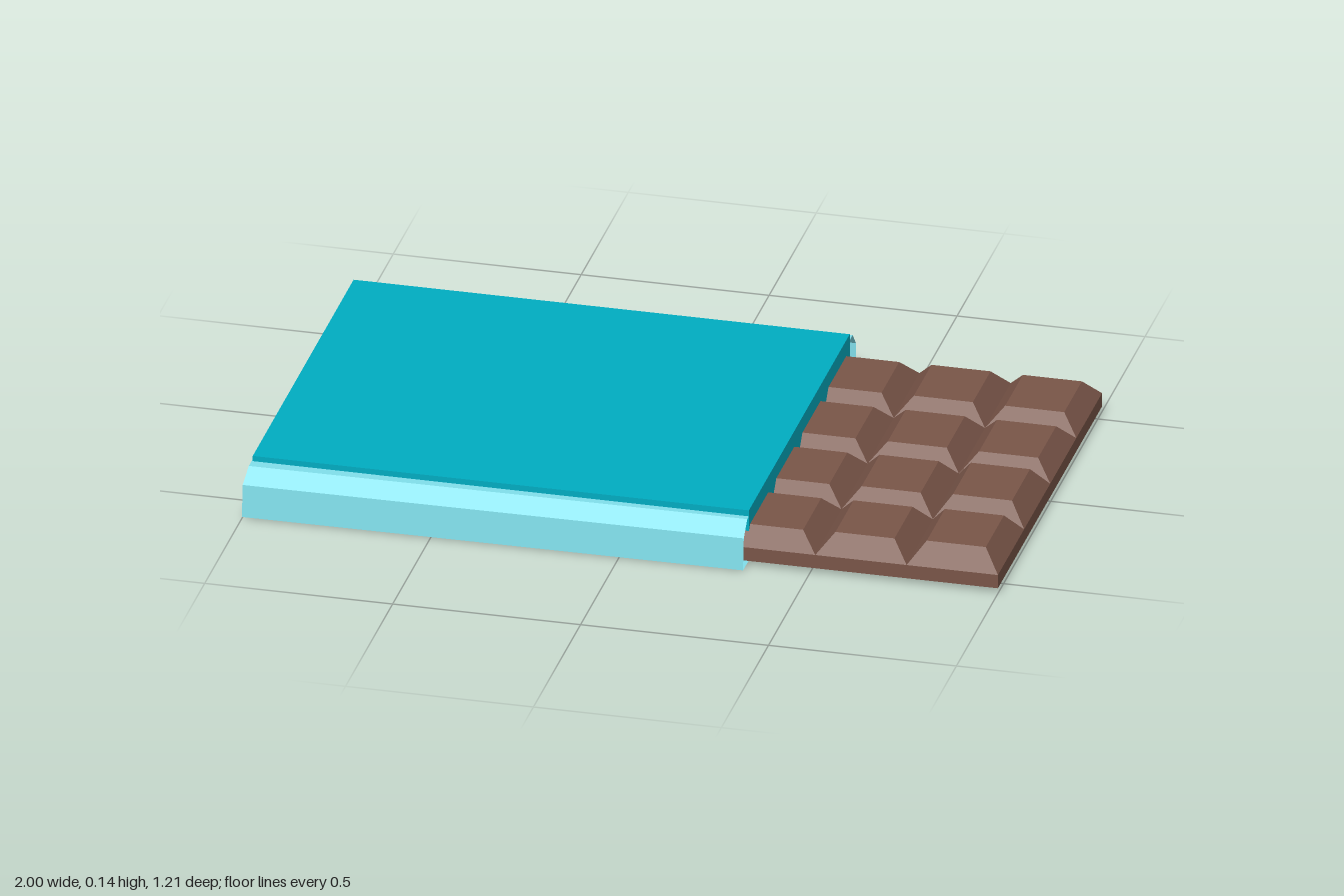
import * as THREE from 'three';

const mat = (color, side = THREE.FrontSide) =>
  new THREE.MeshStandardMaterial({ color, side, flatShading: true });

function box(name, [x0, x1], [y0, y1], [z0, z1], material) {
  const m = new THREE.Mesh(new THREE.BoxGeometry(x1 - x0, y1 - y0, z1 - z0), material);
  m.position.set((x0 + x1) / 2, (y0 + y1) / 2, (z0 + z1) / 2);
  m.name = name;
  return m;
}

// Box whose top face is pulled in on all four sides
function taperedBox(name, xs, ys, zs, inset, material) {
  const m = box(name, xs, ys, zs, material);
  const p = m.geometry.attributes.position;
  for (let i = 0; i < p.count; i++) {
    if (p.getY(i) < 0) continue;
    p.setX(i, p.getX(i) - Math.sign(p.getX(i)) * inset);
    p.setZ(i, p.getZ(i) - Math.sign(p.getZ(i)) * inset);
  }
  m.geometry.computeVertexNormals();
  return m;
}

// Chocolate bar: a flat base with a grid of tapered squares
function chocolateBar() {
  const bar = new THREE.Group();
  bar.name = 'chocolateBar';
  const brown = mat(0x795548);
  const cols = 8, pitch = 0.243, top = 0.053;
  const rowEdges = [-0.545, -0.272, 0.005, 0.282, 0.56];
  const rowHeights = [0.102, 0.102, 0.112, 0.108];
  const colHeights = [0.11, 0.104, 0.1];
  bar.add(box('barBase', [1 - cols * pitch, 1], [0.015, top], [-0.545, 0.56], brown));
  for (let c = 0; c < cols; c++) {
    const x1 = 1 - c * pitch;
    for (let r = 0; r < 4; r++) {
      const h = Math.min(rowHeights[r], colHeights[Math.min(c, 2)]);
      bar.add(taperedBox('chocolateSquare', [x1 - pitch, x1], [top, h],
        [rowEdges[r], rowEdges[r + 1]], 0.043, brown));
    }
  }
  return bar;
}

// Inner wrapper: thin tray with chamfered sides, closed at the left-hand end
function innerWrapper() {
  // [z, y] from the front top edge, under the bar, to the back top edge
  const closed = [[0.52, 0.13], [0.56, 0.13], [0.597, 0.092], [0.605, 0.004],
    [-0.595, 0.002], [-0.593, 0.09], [-0.558, 0.13], [-0.52, 0.13]];
  const open = closed.map(([z, y]) => [z - 0.013, Math.max(0, y - 0.002)]);
  const n = closed.length;
  const pos = [], idx = [];
  closed.forEach(([z, y]) => pos.push(y > 0.1 ? -0.993 : -1, y, z));
  open.forEach(([z, y]) => pos.push(0.33, y, z));
  for (let i = 0; i < n - 1; i++) idx.push(i, i + 1, n + i, i + 1, n + i + 1, n + i);
  for (let i = 1; i < n - 1; i++) idx.push(0, i + 1, i); // end cap
  const indexed = new THREE.BufferGeometry();
  indexed.setAttribute('position', new THREE.Float32BufferAttribute(pos, 3));
  indexed.setIndex(idx);
  const g = indexed.toNonIndexed();
  g.computeVertexNormals();
  const m = new THREE.Mesh(g, mat(0x80deea, THREE.DoubleSide));
  m.name = 'innerWrapper';
  return m;
}

export function createModel() {
  const model = new THREE.Group();
  model.name = 'wrappedChocolateBar';
  model.add(chocolateBar(), innerWrapper());
  // Outer label laid on top of the wrapper
  model.add(box('label', [-0.99, 0.33], [0.065, 0.145], [-0.54, 0.53], mat(0x00acc1)));
  return model;
}
